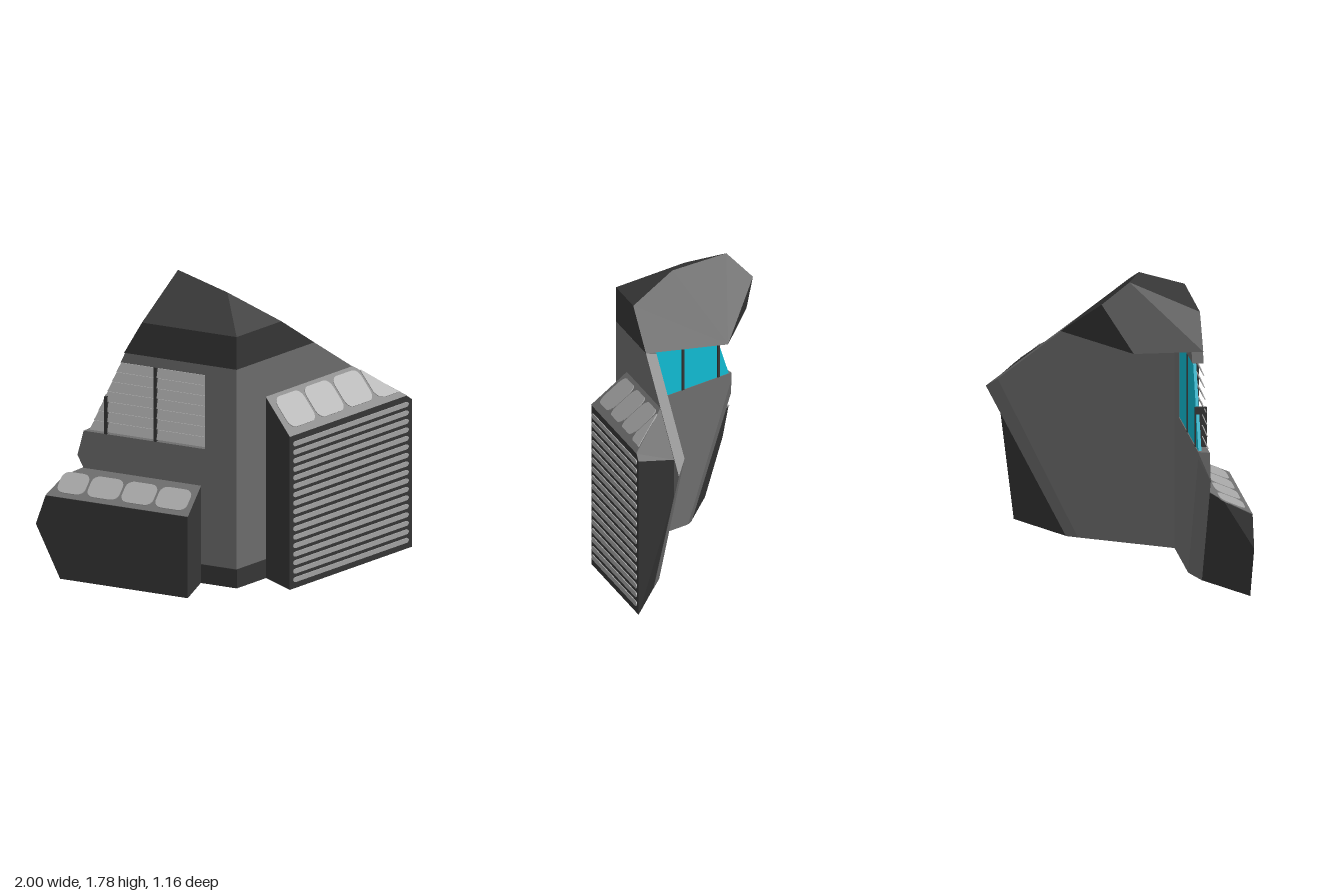
import * as THREE from 'three';
import { ConvexGeometry } from 'three/addons/geometries/ConvexGeometry.js';

const mat = (name, color) => new THREE.MeshStandardMaterial({ name, color });

export function createModel() {
  const wallGrey = mat('wall grey', 0x6e6e6e);
  const dark = mat('charcoal', 0x363636);
  const light = mat('light grey', 0xa4a4a4);
  const cyan = mat('cyan glass', 0x10bcd4);
  const root = new THREE.Group();

  // Wall frames: s runs along the wall from the corner, o points outward
  const frame = (dx, dz, nx, nz) => ([s, y, o]) =>
    new THREE.Vector3(-0.24 + s * dx + o * nx, y, 0.33 + s * dz + o * nz);
  const F = frame(1, 0.024, -0.024, 1);
  const L = frame(-0.48, -0.877, -0.877, 0.48);

  // Every solid is a convex faceted block
  const hull = (name, material, points, at = ([x, y, z]) => new THREE.Vector3(x, y, z)) => {
    const mesh = new THREE.Mesh(new ConvexGeometry(points.map(at)), material);
    mesh.name = name;
    root.add(mesh);
  };
  const slab = (name, material, at, outer, o1, inner, o0) =>
    hull(name, material, [...outer.map(p => [...p, o1]), ...inner.map(p => [...p, o0])], at);
  const rect = (s0, y0, s1, y1) => [[s0, y0], [s1, y0], [s1, y1], [s0, y1]];
  const rounded = (s0, y0, s1, y1, rs, ry) => {
    const pts = [];
    [[s1 - rs, y1 - ry], [s0 + rs, y1 - ry], [s0 + rs, y0 + ry], [s1 - rs, y0 + ry]].forEach(([cx, cy], q) => {
      for (let k = 0; k <= 4; k++) {
        const a = (q + k / 4) * Math.PI / 2;
        pts.push([cx + rs * Math.cos(a), cy + ry * Math.sin(a)]);
      }
    });
    return pts;
  };

  // Roof
  hull('roof', dark, [
    [-0.24, 1.61, 0.33], [0.10, 1.61, 0.338], [-0.52, 1.61, -0.185], [-0.06, 1.742, 0.045],
    [-0.13, 1.785, -0.31], [0, 1.67, -0.43], [0.35, 1.4, -0.16], [0.35, 1.4, 0.344],
    [-0.21, 1.4, -0.46], [-0.24, 1.4, 0.33], [-0.575, 1.4, -0.28],
  ]);

  // Front wall, bevelled toward its inner face
  const T = -0.065, C = 0.038;
  slab('frontWall', wallGrey, F,
    [[0, 0], [0.74, 0], [1.24, 0.86], [0.59, 1.4], [0, 1.4]], 0,
    [[C, 0.02], [0.64, 0.02], [1.14, 0.93], [0.59, 1.39], [C, 1.4]], T);

  // Side wall around an opening that runs out through its sloping edge
  const edge = y => 0.69 + 0.42 * (1.4 - y);
  const sill = 0.86, head = 1.335, jamb = 0.195;
  slab('sideWallLower', wallGrey, L,
    [[0, 0], [0.65, 0], [0.985, 0.7], [edge(sill) + 0.03, sill], [0, sill]], 0,
    [[C, 0.02], [0.547, 0.02], [0.92, 0.82], [0.92, sill], [C, sill]], T);
  slab('sideWallPost', wallGrey, L, rect(0, sill, jamb, head), 0, rect(C, sill, jamb, head), T);
  slab('sideWallUpper', wallGrey, L,
    [[0, head], [edge(head), head], [edge(1.4), 1.4], [0, 1.4]], 0,
    [[C, head], [edge(head) - 0.015, head], [edge(1.4) - 0.015, 1.4], [C, 1.4]], T);

  // Dark strips at the foot of both walls
  slab('frontBase', dark, F, rect(0, 0, 0.24, 0.12), 0.004, rect(0, 0, 0.24, 0.12), 0);
  slab('sideBase', dark, L, rect(0, 0, 0.24, 0.12), 0.004, rect(0, 0, 0.24, 0.12), 0);

  // Window glass, mullions and louvres
  const pane = [[jamb, sill], [edge(sill) - 0.015, sill], [edge(head) - 0.015, head], [jamb, head]];
  slab('windowGlass', cyan, L, pane, -0.042, pane, -0.06);
  for (const [s, top] of [[0.505, head], [0.81, 1.1]]) {
    const bar = rect(s - 0.009, sill, s + 0.009, top);
    slab('mullion', dark, L, bar, 0.003, bar, T - 0.002);
  }
  for (let i = 0; i < 7; i++) {
    const y0 = 0.873 + i * 0.066, y1 = y0 + 0.053;
    hull('louvre', light, [[jamb, y0, 0], [edge(y0), y0, 0], [jamb, y1, -0.022], [edge(y1), y1, -0.022],
      [jamb, y0, -0.006], [edge(y0), y0, -0.006], [jamb, y1, -0.028], [edge(y1), y1, -0.028]], L);
  }

  // Large grille unit on the front wall
  const D = 0.218;
  slab('grilleUnit', dark, F,
    [[0.22, 0], [1.15, 0], [1.15, 0.945], [1.11, 0.98], [0.22, 0.98]], D,
    [[0.22, 0], [0.74, 0], [1.15, 0.71], [1.15, 0.934], [0.88, 1.16], [0.22, 1.16]], 0.002);
  for (let i = 0; i < 17; i++) {
    const y = 0.055 + i * 0.0545;
    const bar = rounded(0.245, y - 0.015, 1.12, y + 0.015, 0.015, 0.015);
    slab('grilleBar', light, F, bar, D + 0.006, bar, D - 0.001);
  }

  // Sloping lids: v goes from the outer lip (0) to the wall (1), h lifts off the surface
  const lid = (at, y0, y1, depth) => ([s, v, h]) => {
    const len = Math.hypot(y1 - y0, depth);
    return at([s, y0 + (y1 - y0) * v + h * depth / len, depth * (1 - v) + h * (y1 - y0) / len]);
  };
  const bigLid = lid(F, 0.98, 1.16, D);
  const bigTop = [[0.22, 0], [1.11, 0], [0.88, 1], [0.22, 1]];
  slab('grilleLid', wallGrey, bigLid, bigTop, 0.003, bigTop, 0);
  const bigVents = [0, 1, 2].map(i => rounded(0.258 + i * 0.217, 0.16, 0.46 + i * 0.217, 0.91, 0.04, 0.2));
  bigVents.push([[0.91, 0.3], [0.93, 0.17], [0.96, 0.13], [1.07, 0.13], [0.915, 0.86], [0.908, 0.86]]);
  for (const v of bigVents) slab('lidVent', light, bigLid, v, 0.008, v, 0);

  // Small unit on the side wall
  const E = 0.228;
  hull('sideUnit', dark, [
    [0.22, 0, E], [0.22, 0.52, E], [1.10, 0.52, E], [1.16, 0.33, E], [1.01, 0, E],
    [1.04, 0.588, 0.07], [0.22, 0.62, 0.002], [0.955, 0.62, 0.002], [0.65, 0, 0.002], [0.22, 0, 0.002],
  ], L);
  const smallLid = lid(L, 0.52, 0.62, E);
  const smallTop = [[0.22, 0], [1.10, 0], [1.04, 0.69], [0.955, 1], [0.22, 1]];
  slab('sideLid', wallGrey, smallLid, smallTop, 0.003, smallTop, 0);
  for (let i = 0; i < 4; i++) {
    const s = 0.25 + i * 0.21;
    const v = rounded(s, 0.14, s + (i < 3 ? 0.195 : 0.17), 0.8, 0.045, 0.2);
    slab('lidVent', light, smallLid, v, 0.008, v, 0);
  }
  return root;
}
